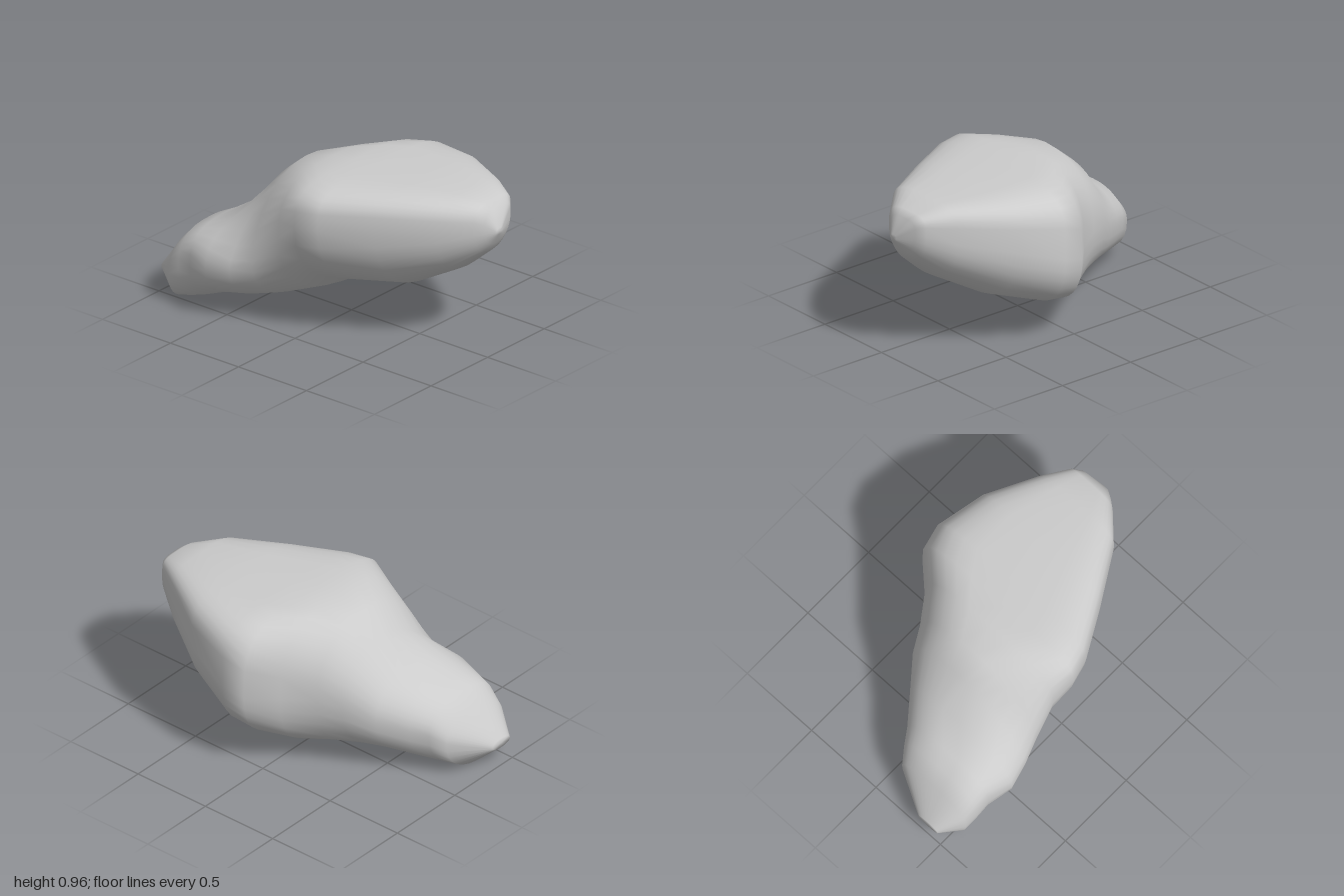
import * as THREE from 'three';

// Cross-sections along x, each set by its four extreme points:
// x, bottom y, bottom z, top y, top z, front z, front y, back z, back y, front-top roundness
const SECTIONS = [
  [-1.0, 0.12, 0.41, 0.18, 0.40, 0.48, 0.15, 0.33, 0.15, 1.0],
  [-0.87, 0.00, 0.42, 0.37, 0.32, 0.575, 0.17, 0.08, 0.25, 0.8],
  [-0.79, 0.01, 0.38, 0.46, 0.28, 0.585, 0.22, 0.02, 0.30, 0.7],
  [-0.7, 0.03, 0.33, 0.50, 0.24, 0.59, 0.27, -0.04, 0.32, 0.7],
  [-0.55, 0.08, 0.22, 0.59, 0.10, 0.635, 0.31, -0.16, 0.38, 0.9],
  [-0.4, 0.09, 0.15, 0.80, 0.08, 0.60, 0.35, -0.28, 0.48, 1.35],
  [-0.27, 0.10, 0.02, 0.91, 0.08, 0.56, 0.42, -0.35, 0.50, 1.05],
  [-0.1, 0.13, -0.20, 0.95, 0.04, 0.53, 0.60, -0.47, 0.50, 0.7],
  [0.04, 0.20, -0.33, 0.96, 0.03, 0.555, 0.72, -0.62, 0.52, 0.55],
  [0.18, 0.225, -0.34, 0.96, -0.02, 0.52, 0.73, -0.645, 0.56, 0.55],
  [0.47, 0.30, -0.15, 0.96, -0.10, 0.36, 0.75, -0.57, 0.66, 0.55],
  [0.77, 0.47, -0.10, 0.95, -0.12, 0.18, 0.77, -0.40, 0.74, 0.6],
  [0.92, 0.60, -0.12, 0.91, -0.14, 0.03, 0.78, -0.30, 0.80, 0.7],
  [0.96, 0.66, -0.12, 0.88, -0.13, -0.02, 0.77, -0.25, 0.80, 0.8],
  [1.0, 0.73, -0.10, 0.77, -0.10, -0.08, 0.75, -0.13, 0.75, 1.0],
];
const SIDES = 32;

// Point on a section outline: four superellipse quarters joined at the extremes
function outlinePoint([x, yLo, zLo, yHi, zHi, zF, yF, zB, yB, round], j) {
  const a = (j / SIDES) * Math.PI * 2;
  const front = Math.cos(a) >= 0;
  const upper = Math.sin(a) >= 0;
  // The upper back edge grows squarer toward the large end
  const backTop = 0.9 - 0.45 * THREE.MathUtils.smoothstep(x, -0.35, 0.2);
  const e = upper ? (front ? round : backTop) : 0.9;
  const c = Math.abs(Math.cos(a)) ** e;
  const s = Math.abs(Math.sin(a)) ** e;
  const zMid = upper ? zHi : zLo;
  const yMid = front ? yF : yB;
  return [x, yMid + ((upper ? yHi : yLo) - yMid) * s, zMid + ((front ? zF : zB) - zMid) * c];
}

function loftGeometry() {
  const positions = [];
  const index = [];
  for (const section of SECTIONS)
    for (let j = 0; j < SIDES; j++) positions.push(...outlinePoint(section, j));

  for (let i = 0; i < SECTIONS.length - 1; i++) {
    for (let j = 0; j < SIDES; j++) {
      const k = (j + 1) % SIDES;
      const a = i * SIDES + j, b = i * SIDES + k;
      index.push(a, a + SIDES, b, b, a + SIDES, b + SIDES);
    }
  }

  // Close both tips with a fan
  const last = SECTIONS.length - 1;
  for (const row of [0, last]) {
    const [x, yLo, , yHi, , zF, , zB] = SECTIONS[row];
    const centre = positions.length / 3;
    positions.push(x, (yLo + yHi) / 2, (zF + zB) / 2);
    for (let j = 0; j < SIDES; j++) {
      const a = row * SIDES + j, b = row * SIDES + ((j + 1) % SIDES);
      if (row === 0) index.push(centre, a, b);
      else index.push(centre, b, a);
    }
  }

  const geometry = new THREE.BufferGeometry();
  geometry.setAttribute('position', new THREE.Float32BufferAttribute(positions, 3));
  geometry.setIndex(index);
  geometry.computeVertexNormals();
  return geometry;
}

export function createModel() {
  const group = new THREE.Group();
  group.name = 'boulder';
  const rock = new THREE.Mesh(loftGeometry(), new THREE.MeshStandardMaterial({ color: 0xcccccc }));
  rock.name = 'rockBody';
  group.add(rock);
  return group;
}
